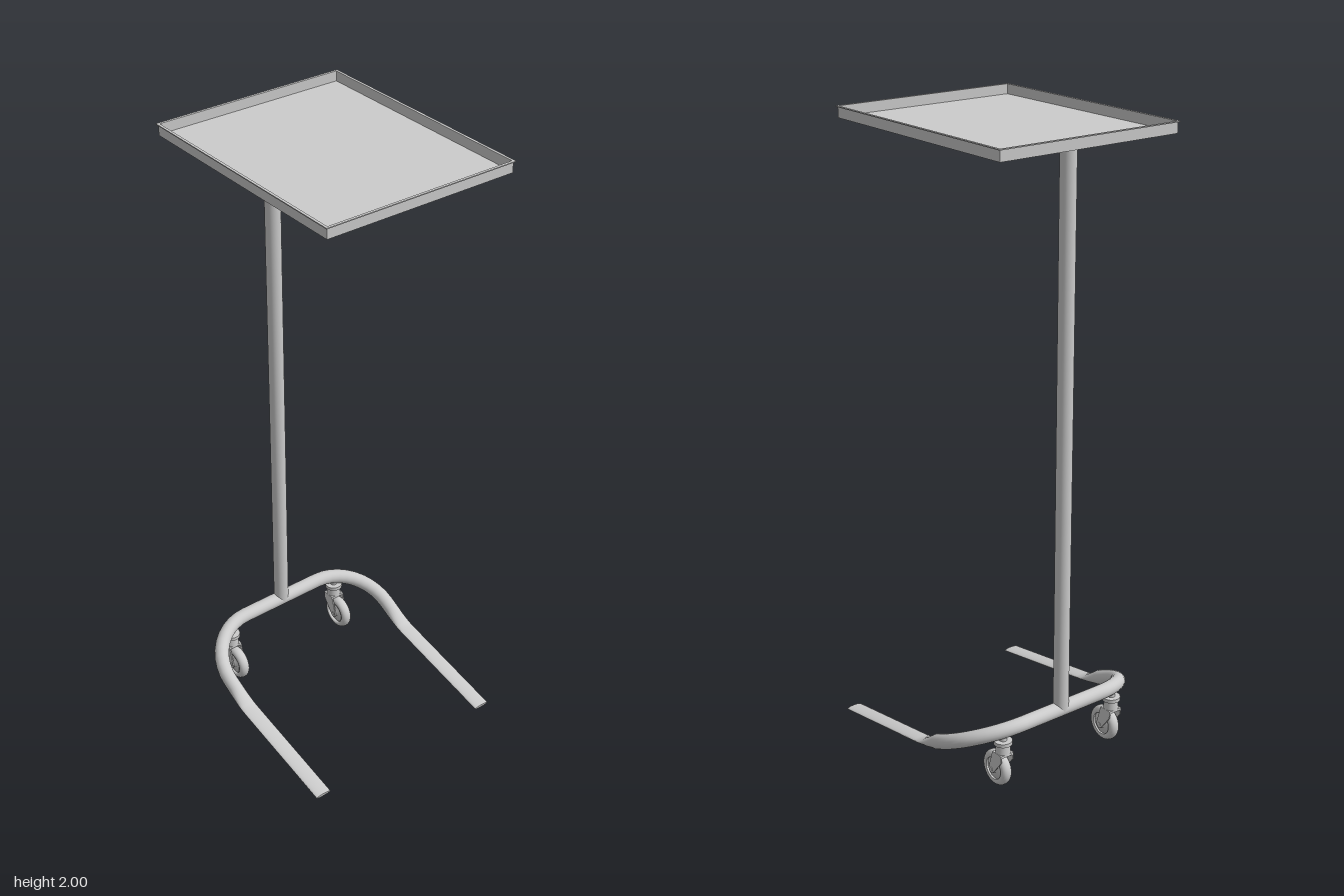
import * as THREE from 'three';

const grey = new THREE.MeshStandardMaterial({ color: 0xcccccc });

function add(parent, name, geometry, x = 0, y = 0, z = 0) {
  const mesh = new THREE.Mesh(geometry, grey);
  mesh.name = name;
  mesh.position.set(x, y, z);
  parent.add(mesh);
  return mesh;
}

const rect = (Ctor, w, d) => new Ctor([
  new THREE.Vector2(-w, -d), new THREE.Vector2(w, -d),
  new THREE.Vector2(w, d), new THREE.Vector2(-w, d)]);

// Flat rectangular frame lying in xz, rising by h
function frame(w, d, t, h) {
  const shape = rect(THREE.Shape, w, d);
  shape.holes.push(rect(THREE.Path, w - t, d - t));
  return new THREE.ExtrudeGeometry(shape, { depth: h, bevelEnabled: false }).rotateX(-Math.PI / 2);
}

// Sweep an elliptical section along stations { p, a: half width, b: half thickness }
function sweep(stations, sides = 20) {
  const pos = [], index = [], up = new THREE.Vector3(0, 1, 0), n = stations.length;
  stations.forEach(({ p, a, b }, i) => {
    const prev = stations[Math.max(i - 1, 0)].p, next = stations[Math.min(i + 1, n - 1)].p;
    const t = next.clone().sub(prev).normalize();
    const u = up.clone().cross(t).normalize(), v = t.clone().cross(u);
    for (let j = 0; j < sides; j++) {
      const k = j / sides * Math.PI * 2;
      const q = p.clone().addScaledVector(u, a * Math.cos(k)).addScaledVector(v, b * Math.sin(k));
      pos.push(q.x, q.y, q.z);
      if (i < n - 1) {
        const c = i * sides + j, d = i * sides + (j + 1) % sides;
        index.push(c, d, c + sides, d, d + sides, c + sides);
      }
    }
  });
  // End caps with their own vertices
  for (const end of [0, n - 1]) {
    const base = pos.length / 3;
    pos.push(...pos.slice(end * sides * 3, (end + 1) * sides * 3));
    for (let j = 1; j < sides - 1; j++) {
      if (end) index.push(base, base + j, base + j + 1);
      else index.push(base, base + j + 1, base + j);
    }
  }
  const g = new THREE.BufferGeometry();
  g.setAttribute('position', new THREE.Float32BufferAttribute(pos, 3));
  g.setIndex(index);
  g.computeVertexNormals();
  return g;
}

// U-shaped base: round tube at the back, legs pressed flat towards the front
function baseGeometry() {
  const half = [], R = 0.024;
  const put = (x, y, z, a = R, b = R) => half.push({ p: new THREE.Vector3(x, y, z), a, b });
  const slopeY = z => 0.203 - 0.46 * (z + 0.287);
  for (let i = 0; i <= 10; i++) {
    const t = i / 10 * Math.PI / 2, z = -0.12 - 0.167 * Math.cos(t);
    put(0.15 + 0.179 * Math.sin(t), slopeY(z), z);
  }
  put(0.329, slopeY(-0.09), -0.09);
  put(0.329, 0.098, -0.058, 0.0255, 0.016);
  put(0.329, 0.086, -0.025, 0.027, 0.007);
  put(0.329, 0.081, 0, 0.027, 0.006);
  put(0.329, 0.016, 0.386, 0.027, 0.006);
  const mirrored = half.map(s => ({ ...s, p: s.p.clone().setX(-s.p.x) })).reverse();
  return sweep([...mirrored, ...half]);
}

function lathe(points, segments = 32) {
  return new THREE.LatheGeometry(points.map(([r, y]) => new THREE.Vector2(r, y)), segments);
}

// Swivel caster; its origin is on the floor below the swivel axis
function caster() {
  const g = new THREE.Group();
  g.name = 'caster';
  const axleY = 0.058, axleZ = 0.028;

  add(g, 'mountStem', new THREE.CylinderGeometry(0.012, 0.012, 0.045, 16), 0, 0.18, 0);
  add(g, 'mountFlange', new THREE.CylinderGeometry(0.029, 0.029, 0.012, 24), 0, 0.16, 0);
  add(g, 'swivelCollar', new THREE.CylinderGeometry(0.022, 0.024, 0.034, 24), 0, 0.138, 0);

  // Rounded tyre and stepped hub, turned about x
  const tyre = [[0.036, -0.016]];
  for (let i = 0; i <= 10; i++) {
    const t = (i / 10 - 0.5) * Math.PI;
    tyre.push([0.042 + 0.016 * Math.cos(t), 0.018 * Math.sin(t)]);
  }
  tyre.push([0.036, 0.016], [0.036, -0.016]);
  const hub = [[0, -0.02], [0.014, -0.02], [0.016, -0.01], [0.037, -0.01],
    [0.037, 0.01], [0.016, 0.01], [0.014, 0.02], [0, 0.02]];
  add(g, 'tyre', lathe(tyre).rotateZ(Math.PI / 2), 0, axleY, axleZ);
  add(g, 'hub', lathe(hub).rotateZ(Math.PI / 2), 0, axleY, axleZ);
  add(g, 'axle', new THREE.CylinderGeometry(0.007, 0.007, 0.052, 12).rotateZ(Math.PI / 2), 0, axleY, axleZ);

  // Fork: crown plate and two slanted cheeks, drawn in (z, y)
  add(g, 'forkCrown', new THREE.BoxGeometry(0.048, 0.008, 0.044), 0, 0.121, 0);
  const cheek = new THREE.Shape();
  cheek.moveTo(-0.022, 0.125);
  cheek.lineTo(-0.02, 0.1);
  cheek.lineTo(axleZ - 0.013, axleY - 0.004);
  cheek.absarc(axleZ, axleY, 0.013, Math.PI * 1.1, Math.PI * 2.1, false);
  cheek.lineTo(0.022, 0.125);
  const cheekGeometry = new THREE.ExtrudeGeometry(cheek, { depth: 0.004, bevelEnabled: false, curveSegments: 10 })
    .rotateY(-Math.PI / 2);
  // After turning, shape x runs along +z and the depth along -x
  for (const x of [0.024, -0.02]) add(g, 'forkCheek', cheekGeometry, x, 0, 0);
  return g;
}

export function createModel() {
  const model = new THREE.Group();
  model.name = 'trayStand';

  // Shallow tray with a narrow outward lip
  const tray = new THREE.Group();
  tray.name = 'tray';
  add(tray, 'trayFloor', new THREE.BoxGeometry(0.62, 0.004, 0.77), 0, 1.967, 0);
  add(tray, 'trayWall', frame(0.311, 0.386, 0.003, 0.034), 0, 1.965, 0);
  add(tray, 'trayLip', frame(0.316, 0.391, 0.008, 0.003), 0, 1.997, 0);
  model.add(tray);

  // Upright post rising from the back bar
  add(model, 'post', new THREE.CylinderGeometry(0.0245, 0.0245, 1.762, 32), 0, 1.084, -0.287);

  add(model, 'baseFrame', baseGeometry());

  for (const side of [-1, 1]) {
    const c = caster();
    c.position.set(side * 0.217, 0, -0.276);
    model.add(c);
  }
  return model;
}
